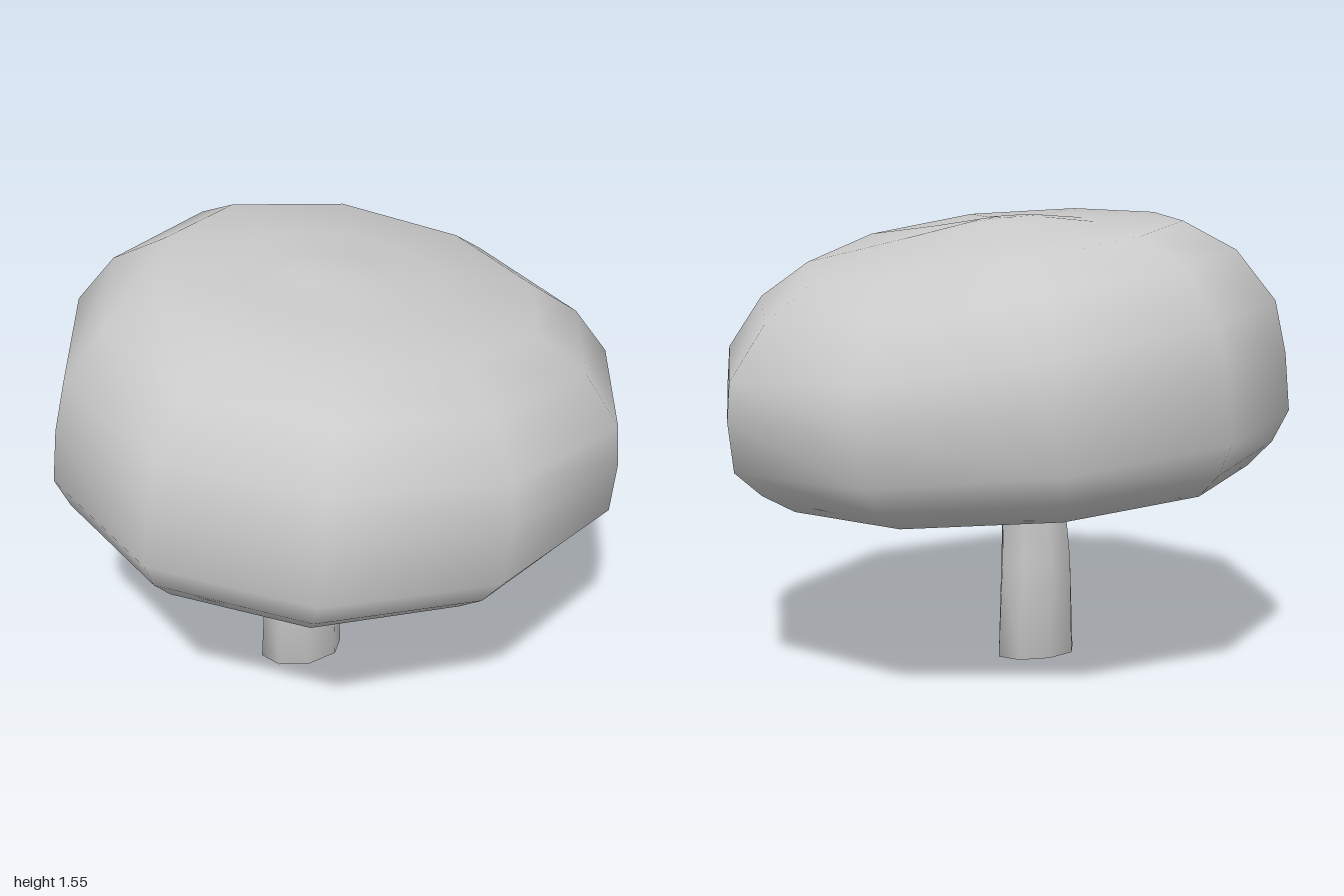
import * as THREE from 'three';
import { mergeVertices } from 'three/addons/utils/BufferGeometryUtils.js';

// Skins tilted rings, listed from the top down.
// Ring: [left x, left y, right x, right y, z radius, lift of the front and back]
function skin(rings, sides, shift = 0) {
  const pos = [], idx = [];
  for (const [lx, ly, rx, ry, rz, lift = 0] of rings) {
    for (let j = 0; j < sides; j++) {
      const a = (j / sides) * Math.PI * 2;
      const c = Math.cos(a), s = Math.sin(a);
      pos.push(
        (lx + rx) / 2 + ((rx - lx) / 2) * c + shift * rz * s * s,
        (ly + ry) / 2 + ((ry - ly) / 2) * c + lift * s * s,
        rz * s
      );
    }
  }
  for (let i = 0; i < rings.length - 1; i++) {
    for (let j = 0; j < sides; j++) {
      const k = (j + 1) % sides;
      const a = i * sides + j, b = i * sides + k;
      const c = a + sides, d = b + sides;
      if (rings[i][4] > 0) idx.push(a, b, c);
      if (rings[i + 1][4] > 0) idx.push(b, d, c);
    }
  }
  let geo = new THREE.BufferGeometry();
  geo.setAttribute('position', new THREE.Float32BufferAttribute(pos, 3));
  geo.setIndex(idx);
  geo = mergeVertices(geo);
  geo.computeVertexNormals();
  return geo;
}

export function createModel() {
  const group = new THREE.Group();
  group.name = 'mushroom';
  const material = new THREE.MeshStandardMaterial({ color: 0xcccccc, side: THREE.DoubleSide });

  // Leaning ten-sided cap: crown, rounded side, rim, then the hollow below
  const capRings = [
    [-0.04, 1.55, -0.04, 1.55, 0],
    [-0.16, 1.555, 0.1, 1.53, 0.13],
    [-0.33, 1.54, 0.34, 1.46, 0.32, 0.02],
    [-0.62, 1.55, 0.69, 1.36, 0.63, 0.04],
    [-0.8, 1.45, 0.86, 1.23, 0.8, 0.06],
    [-0.94, 1.28, 0.985, 1.05, 0.915, 0.06],
    [-0.98, 1.1, 0.995, 0.92, 0.94, 0.05],
    [-1, 0.91, 0.975, 0.75, 0.94, 0.02],
    [-0.95, 0.8, 0.88, 0.665, 0.87, 0.01],
    [-0.87, 0.71, 0.765, 0.6, 0.78, 0.01],
    [-0.58, 0.75, 0.5, 0.68, 0.53],
    [-0.41, 0.84, 0.33, 0.78, 0.36],
    [-0.46, 0.94, 0.38, 0.88, 0.41],
    [-0.34, 1.08, 0.28, 1.04, 0.3],
    [-0.03, 1.1, -0.03, 1.1, 0],
  ];
  const cap = new THREE.Mesh(skin(capRings, 10, -0.055), material);
  cap.name = 'cap';
  group.add(cap);

  // Bent stem, running up into the hollow of the cap
  const stemRings = [
    [0, 1.08, 0, 1.08, 0],
    [-0.1, 1.08, 0.1, 1.06, 0.1],
    [-0.14, 0.84, 0.06, 0.8, 0.095],
    [-0.2, 0.68, -0.005, 0.66, 0.095],
    [-0.26, 0.52, -0.02, 0.56, 0.108],
    [-0.28, 0.35, -0.015, 0.35, 0.115],
    [-0.3, 0, 0, 0, 0.1],
    [-0.15, 0, -0.15, 0, 0],
  ];
  const stem = new THREE.Mesh(skin(stemRings, 8), material);
  stem.name = 'stem';
  group.add(stem);

  return group;
}
